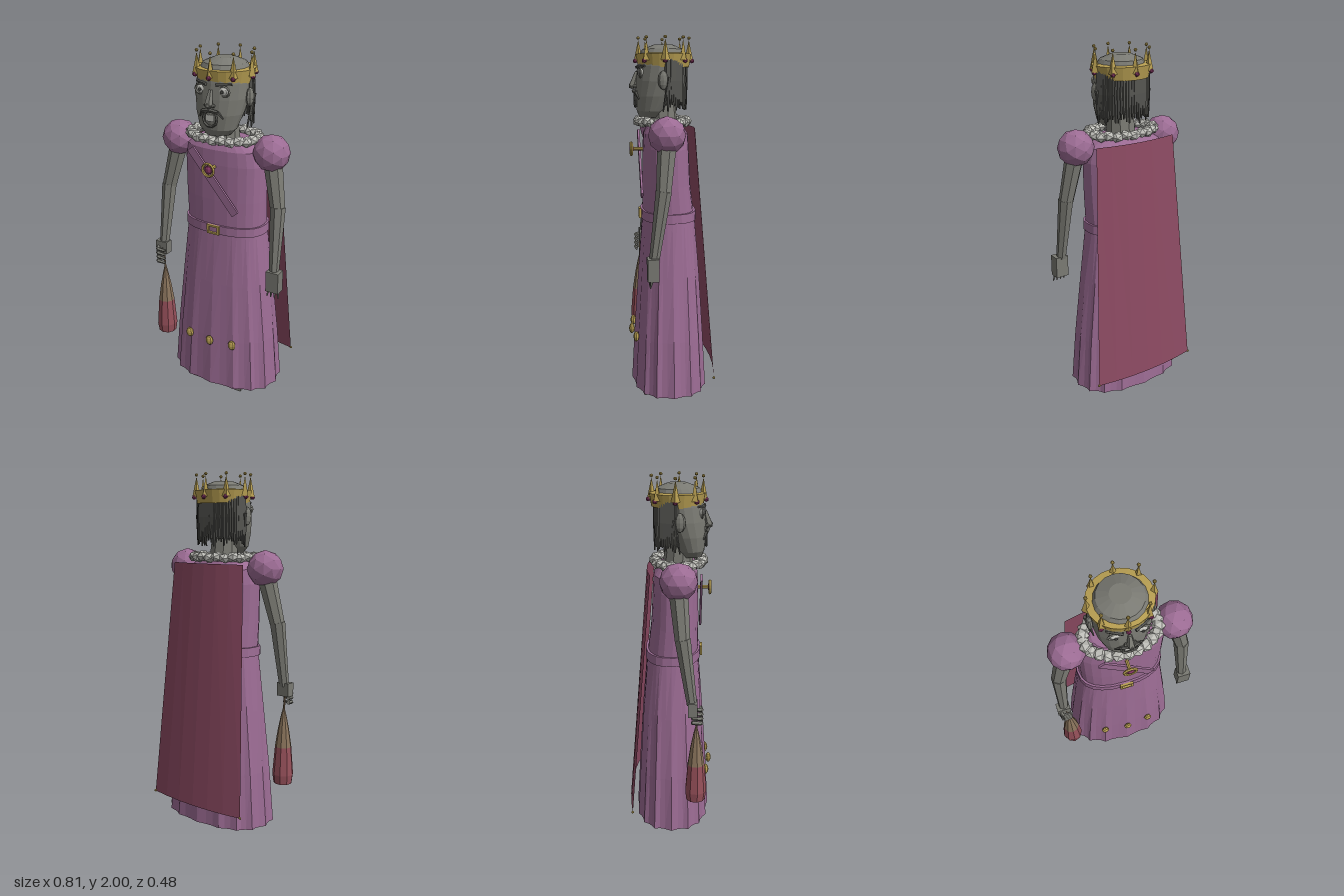
import * as THREE from 'three';
import { mergeGeometries } from 'three/addons/utils/BufferGeometryUtils.js';

const mat = (name, color, side = THREE.FrontSide) => {
  const m = new THREE.MeshStandardMaterial({ color, side });
  m.name = name;
  return m;
};

// Faceted mesh from one geometry or a merged list
function part(name, geo, material) {
  const list = (Array.isArray(geo) ? geo : [geo]).map((g) => {
    const f = g.index ? g.toNonIndexed() : g;
    f.deleteAttribute('uv');
    f.computeVertexNormals();
    return f;
  });
  const mesh = new THREE.Mesh(mergeGeometries(list), material);
  mesh.name = name;
  return mesh;
}

// Loft through sections [y, half width, front z, back z], listed bottom to top
function loft(rows, sides, { power = 1, flutes = 0, capTop = true, capBottom = true } = {}) {
  const pos = [], idx = [];
  const soft = (v) => Math.sign(v) * Math.abs(v) ** power;
  rows.forEach(([y, rx, zf, zb, flute = 0]) => {
    for (let i = 0; i < sides; i++) {
      const a = (i / sides) * Math.PI * 2;
      const k = 1 + flute * Math.cos(a * flutes);
      pos.push(rx * k * soft(Math.sin(a)), y, (zf + zb) / 2 + ((zf - zb) / 2) * k * soft(Math.cos(a)));
    }
  });
  for (let j = 0; j < rows.length - 1; j++) {
    for (let i = 0; i < sides; i++) {
      const a = j * sides + i, b = j * sides + ((i + 1) % sides);
      idx.push(a, b, b + sides, a, b + sides, a + sides);
    }
  }
  const cap = (row, top) => {
    const [y, , zf, zb] = rows[row], c = pos.length / 3;
    pos.push(0, y, (zf + zb) / 2);
    for (let i = 0; i < sides; i++) {
      const a = row * sides + i, b = row * sides + ((i + 1) % sides);
      idx.push(c, top ? a : b, top ? b : a);
    }
  };
  if (capTop) cap(rows.length - 1, true);
  if (capBottom) cap(0, false);
  const g = new THREE.BufferGeometry();
  g.setAttribute('position', new THREE.Float32BufferAttribute(pos, 3));
  g.setIndex(idx);
  return g;
}

// Tapered rod from point a to point b
function rod(a, b, ra, rb, sides = 7) {
  const p = new THREE.Vector3(...a), q = new THREE.Vector3(...b), d = q.clone().sub(p);
  const g = new THREE.CylinderGeometry(rb, ra, d.length(), sides);
  g.applyQuaternion(new THREE.Quaternion().setFromUnitVectors(new THREE.Vector3(0, 1, 0), d.normalize()));
  const m = p.add(q).multiplyScalar(0.5);
  return g.translate(m.x, m.y, m.z);
}
const box = (w, h, d, x, y, z) => new THREE.BoxGeometry(w, h, d).translate(x, y, z);
const ball = (r, x, y, z, detail = 1) => new THREE.IcosahedronGeometry(r, detail).translate(x, y, z);

export function createModel() {
  const robe = mat('robe purple', 0x9c6c94, THREE.DoubleSide);
  const capeRed = mat('cape crimson', 0x8c4a62, THREE.DoubleSide);
  const skin = mat('stone grey', 0x7a7a73);
  const hair = mat('hair dark grey', 0x565652);
  const pale = mat('ruff pale grey', 0xc0c0ba);
  const gold = mat('gold', 0xb89f52);
  const gem = mat('gem magenta', 0x8c3a68);
  const bagRed = mat('bag red', 0x96505a);
  const bagBrown = mat('bag brown', 0x8a745c);
  const model = new THREE.Group();
  model.name = 'king';
  const add = (...args) => model.add(part(...args));

  // Robe: fluted open skirt, torso and belt
  add('skirt', loft([
    [0.04, 0.325, 0.215, -0.195, 0.035], [0.35, 0.303, 0.2, -0.18, 0.025],
    [0.7, 0.268, 0.178, -0.16, 0.015], [1.02, 0.235, 0.155, -0.135],
  ], 48, { power: 0.82, flutes: 16, capBottom: false }), robe);
  add('torso', loft([
    [1.02, 0.232, 0.153, -0.132], [1.2, 0.237, 0.153, -0.11], [1.4, 0.24, 0.15, -0.1],
    [1.48, 0.225, 0.145, -0.095], [1.53, 0.15, 0.12, -0.06],
  ], 24, { power: 0.82 }), robe);
  add('belt', loft([[1.005, 0.246, 0.165, -0.143], [1.055, 0.244, 0.164, -0.141]], 24, { power: 0.82 }), robe);
  const buckle = [-1, 1].flatMap((s) => [
    box(0.075, 0.01, 0.012, 0, 1.03 + s * 0.021, 0.17),
    box(0.011, 0.05, 0.012, s * 0.032, 1.03, 0.17),
  ]);
  add('buckle', buckle, gold);
  add('sash', new THREE.BoxGeometry(0.045, 0.43, 0.012).rotateZ(0.7).translate(0, 1.31, 0.166), robe);

  // Brooch and skirt buttons
  add('broochRing', new THREE.TorusGeometry(0.034, 0.008, 5, 14).translate(0, 1.39, 0.215), gold);
  add('broochStone', new THREE.SphereGeometry(0.024, 7, 5).scale(1, 1, 0.5).translate(0, 1.39, 0.213), gem);
  add('broochPin', rod([0, 1.39, 0.15], [0, 1.39, 0.21], 0.01, 0.01, 6), gold);
  for (const x of [-0.147, 0, 0.14]) {
    const z = x ? 0.205 : 0.222;
    add('button', new THREE.SphereGeometry(0.027, 8, 6).scale(0.9, 1.1, 0.6).translate(x, 0.34, z), gold);
  }

  // Cape: bowed sheet that widens toward the hem
  const cape = new THREE.PlaneGeometry(2, 1, 6, 1);
  const cp = cape.attributes.position;
  for (let i = 0; i < cp.count; i++) {
    const u = cp.getX(i), t = 0.5 - cp.getY(i);
    const bow = (1 - u * u) * 0.03;
    cp.setXYZ(i, u * (0.25 + 0.075 * t), 1.51 - 1.36 * t, -0.102 - 0.107 * t - bow);
  }
  add('cape', cape, capeRed);
  for (const s of [-1, 1]) add('capeTassel', ball(0.008, s * 0.325, 0.152, -0.21, 0), gold);

  // Ruff: ring of faceted lumps around the collar
  const ruff = [];
  for (let i = 0; i < 24; i++) {
    const a = (i / 24) * Math.PI * 2;
    ruff.push(new THREE.IcosahedronGeometry(0.037, 0).rotateY(i * 1.3).scale(1, 0.8, 1)
      .translate(0.195 * Math.sin(a), 1.54 + 0.006 * (i % 2), 0.042 + 0.128 * Math.cos(a)));
  }
  add('ruff', ruff, pale);

  // Head, neck, ears and face
  add('neck', rod([0, 1.48, 0.035], [0, 1.64, 0.045], 0.085, 0.075, 10), skin);
  add('head', loft([
    [1.565, 0.07, 0.168, 0.05], [1.6, 0.105, 0.182, 0.03], [1.68, 0.132, 0.19, -0.02],
    [1.76, 0.148, 0.186, -0.065], [1.84, 0.148, 0.178, -0.085], [1.9, 0.135, 0.168, -0.09],
    [1.93, 0.115, 0.15, -0.08], [1.955, 0.052, 0.087, -0.017],
  ], 18), skin);
  add('nose', [
    rod([0, 1.81, 0.182], [0, 1.735, 0.205], 0.01, 0.022, 5),
    ball(0.02, 0, 1.735, 0.207, 0), ball(0.013, 0.02, 1.732, 0.193, 0), ball(0.013, -0.02, 1.732, 0.193, 0),
  ], skin);
  for (const s of [-1, 1]) {
    add('ear', new THREE.SphereGeometry(1, 8, 6).scale(0.018, 0.05, 0.03).translate(s * 0.155, 1.765, 0.05), skin);
    add('eye', new THREE.SphereGeometry(0.027, 8, 6).scale(1.1, 0.9, 0.7).translate(s * 0.068, 1.805, 0.161), pale);
    add('eyelid', new THREE.TorusGeometry(0.03, 0.006, 4, 12).scale(1.1, 0.85, 1).translate(s * 0.068, 1.805, 0.166), skin);
    add('pupil', new THREE.CylinderGeometry(0.009, 0.009, 0.006, 8).rotateX(Math.PI / 2)
      .translate(s * 0.066, 1.805, 0.181), hair);
    add('eyebrow', rod([s * 0.03, 1.836, 0.18], [s * 0.105, 1.84, 0.145], 0.009, 0.006, 5), hair);
    add('moustache', [
      rod([0, 1.708, 0.198], [s * 0.045, 1.7, 0.19], 0.012, 0.01, 5),
      rod([s * 0.045, 1.7, 0.19], [s * 0.07, 1.665, 0.175], 0.01, 0.004, 5),
    ], hair);
  }
  add('goatee', new THREE.TorusGeometry(0.042, 0.007, 4, 10).translate(0, 1.662, 0.19), hair);
  add('mouth', box(0.05, 0.034, 0.008, 0, 1.665, 0.19), pale);

  // Hair: hanging strands round the sides and back
  const strands = [];
  for (let i = 0; i <= 30; i++) {
    const a = Math.PI * (0.5 + i / 30);
    const x = 0.15 * Math.sin(a), z = 0.03 + 0.115 * Math.cos(a);
    const low = 1.6 + 0.035 * Math.abs(Math.sin(i * 2.4));
    strands.push(rod([x * 1.02, low, z - 0.005], [x, 1.76, z], 0.004, 0.015, 5),
      rod([x, 1.76, z], [x * 0.97, 1.88, z], 0.015, 0.013, 5));
  }
  for (const s of [-1, 1]) strands.push(rod([s * 0.14, 1.6, 0.05], [s * 0.165, 1.78, 0.02], 0.004, 0.012, 5));
  add('hair', strands, hair);

  // Crown: flared band with eight spikes, pearls and gems
  const band = [[0.142, 1.835], [0.15, 1.835], [0.163, 1.905], [0.125, 1.91], [0.142, 1.835]]
    .map(([x, y]) => new THREE.Vector2(x, y));
  add('crownBand', new THREE.LatheGeometry(band, 24).scale(1, 1, 0.93).translate(0, 0, 0.033), gold);
  const spikes = [], tips = [], gems = [];
  for (let i = 0; i < 8; i++) {
    const a = (i / 8) * Math.PI * 2 - 0.05, x = Math.sin(a), z = Math.cos(a);
    spikes.push(new THREE.ConeGeometry(0.024, 0.11, 4).rotateY(a).translate(x * 0.158, 1.925, 0.033 + z * 0.138));
    tips.push(ball(0.01, x * 0.158, 1.984, 0.033 + z * 0.138, 0).translate(0, 0.006, 0));
    gems.push(ball(0.014, x * 0.167, 1.868, 0.033 + z * 0.155, 0));
  }
  add('crownSpikes', spikes, gold);
  add('crownTips', tips, gold);
  add('crownGems', gems, gem);

  // Arms, shoulder puffs, legs and feet
  for (const s of [-1, 1]) {
    const o = s < 0 ? -0.012 : 0;
    add('shoulderPuff', ball(0.1, s * 0.286, 1.485, 0.045), robe);
    add('upperArm', rod([s * 0.295, 1.44, 0.045], [s * 0.342 + o, 1.19, 0.068], 0.052, 0.041), skin);
    add('forearm', rod([s * 0.342 + o, 1.2, 0.068], [s * 0.356 + o, 0.84, 0.12], 0.043, 0.028), skin);
    add('leg', rod([s * 0.145, 0.03, 0.03], [s * 0.12, 0.9, 0.01], 0.022, 0.05, 8), skin);
    add('foot', [box(0.06, 0.035, 0.165, s * 0.147, 0.0175, 0.08), box(0.045, 0.035, 0.08, s * 0.147, 0.045, 0.045)], skin);
  }

  // Open left hand
  add('leftHand', box(0.075, 0.12, 0.06, 0.363, 0.79, 0.128).toNonIndexed(), skin);
  for (let i = 0; i < 4; i++) {
    add('leftFinger', rod([0.335 + i * 0.019, 0.735, 0.135], [0.33 + i * 0.023, 0.695, 0.145], 0.008, 0.003, 5), skin);
  }

  // Right hand curled round the neck of the bag
  add('rightHand', box(0.075, 0.075, 0.05, -0.373, 0.82, 0.125), skin);
  for (let i = 0; i < 4; i++) {
    const y = 0.825 - i * 0.026;
    add('rightFinger', [
      rod([-0.398, y, 0.12], [-0.385, y - 0.008, 0.172], 0.012, 0.011, 5),
      rod([-0.385, y - 0.008, 0.172], [-0.335, y - 0.012, 0.168], 0.011, 0.008, 5),
    ], skin);
  }

  // Hanging money bag
  const lathe = (pts) => new THREE.LatheGeometry(pts.map(([x, y]) => new THREE.Vector2(x, y)), 9).translate(-0.352, 0, 0.145);
  add('bagBase', lathe([[0, 0.265], [0.053, 0.267], [0.06, 0.32], [0.047, 0.48]]), bagRed);
  add('bagNeck', lathe([[0.047, 0.48], [0.032, 0.58], [0.016, 0.66], [0.006, 0.7], [0, 0.7]]), bagBrown);
  add('bagCord', rod([-0.352, 0.69, 0.145], [-0.362, 0.82, 0.145], 0.006, 0.006, 5), bagBrown);
  return model;
}
